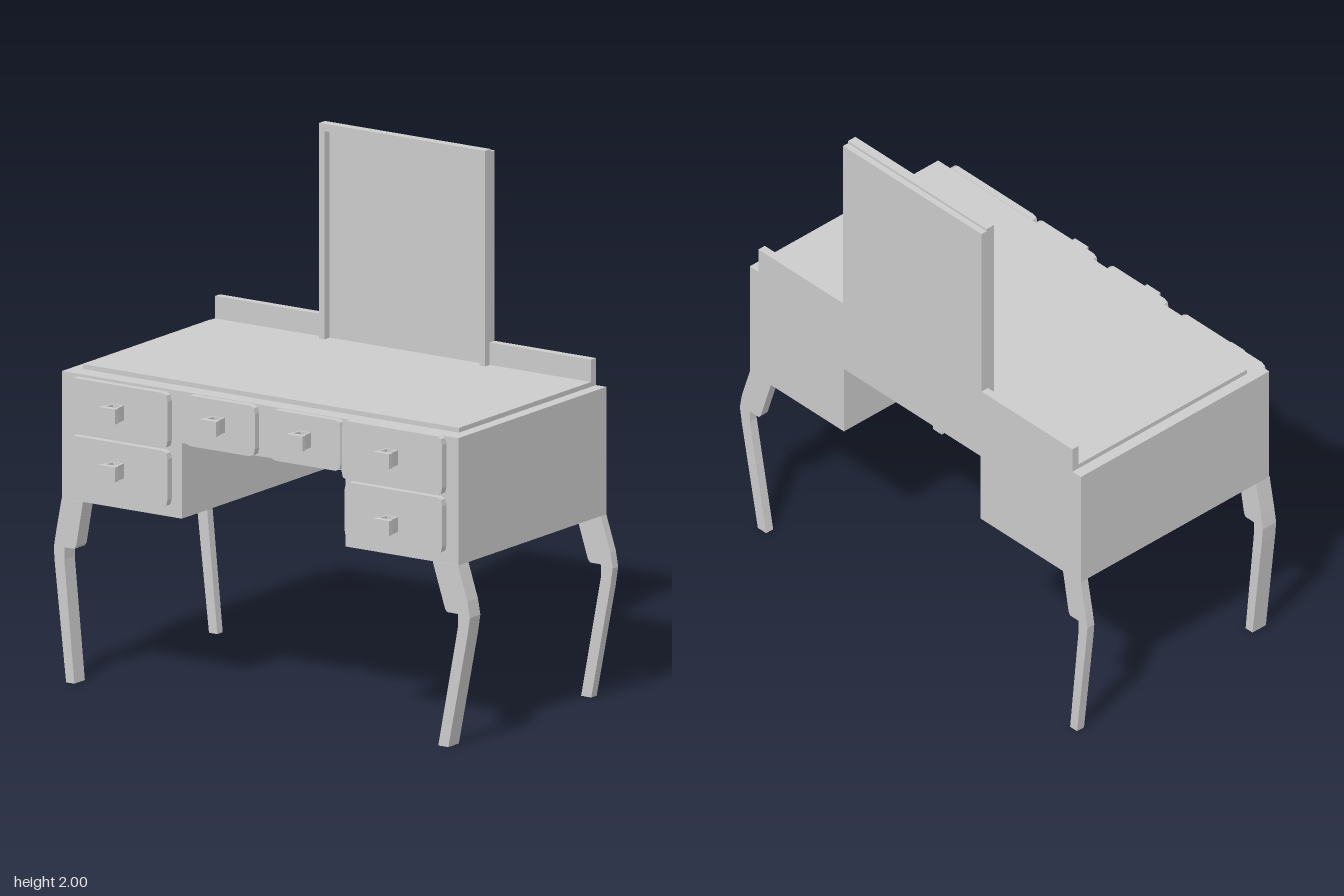
import * as THREE from 'three';

const material = new THREE.MeshStandardMaterial({ color: 0xcccccc });

function toShape(points) {
  return new THREE.Shape(points.map(([x, y]) => new THREE.Vector2(x, y)));
}

// Extrudes a front-view outline between two depths.
function slab(name, shape, z0, z1) {
  const geometry = new THREE.ExtrudeGeometry(shape, { depth: z1 - z0, bevelEnabled: false });
  geometry.translate(0, 0, z0);
  const mesh = new THREE.Mesh(geometry, material);
  mesh.name = name;
  return mesh;
}

function box(name, x0, x1, y0, y1, z0, z1) {
  const mesh = new THREE.Mesh(new THREE.BoxGeometry(x1 - x0, y1 - y0, z1 - z0), material);
  mesh.position.set((x0 + x1) / 2, (y0 + y1) / 2, (z0 + z1) / 2);
  mesh.name = name;
  return mesh;
}

// Drawer front with clipped corners.
function drawerFront(x0, x1, y0, y1) {
  const c = 0.022, d = 0.03;
  const shape = toShape([
    [x0 + c, y0], [x1 - c, y0], [x1 - 0.005, y0 + 0.008], [x1, y0 + d],
    [x1, y1 - d], [x1 - 0.005, y1 - 0.008], [x1 - c, y1], [x0 + c, y1],
    [x0 + 0.005, y1 - 0.008], [x0, y1 - d], [x0, y0 + d], [x0 + 0.005, y0 + 0.008],
  ]);
  return slab('drawerFront', shape, 0.425, 0.453);
}

// Flared pull, hollow from top to bottom; outline drawn in plan.
function drawerPull(x, y) {
  const shape = toShape([
    [-0.026, 0.45], [0.026, 0.45], [0.03, 0.5], [0.036, 0.502],
    [0.036, 0.523], [-0.036, 0.523], [-0.036, 0.502], [-0.03, 0.5],
  ]);
  shape.holes.push(toShape([[-0.017, 0.46], [-0.021, 0.5], [0.021, 0.5], [0.017, 0.46]]));
  const geometry = new THREE.ExtrudeGeometry(shape, { depth: 0.056, bevelEnabled: false });
  geometry.rotateX(Math.PI / 2);
  const mesh = new THREE.Mesh(geometry, material);
  mesh.position.set(x, y + 0.028, 0);
  mesh.name = 'drawerPull';
  return mesh;
}

export function createModel() {
  const model = new THREE.Group();
  model.name = 'dressingTable';

  // Carcass with knee space
  model.add(slab('carcass', toShape([
    [-0.895, 0.69], [-0.36, 0.69], [-0.36, 0.975], [0.37, 0.975],
    [0.37, 0.69], [0.873, 0.69], [0.873, 1.17], [-0.895, 1.17],
  ]), -0.52, 0.425));

  // Top panel and low back rails
  model.add(box('topPanel', -0.85, 0.827, 1.165, 1.188, -0.49, 0.355));
  model.add(box('backRail', -0.85, -0.365, 1.17, 1.272, -0.52, -0.488));
  model.add(box('backRail', 0.375, 0.827, 1.17, 1.272, -0.52, -0.488));

  // Mirror: panel with a raised frame on three sides
  const mirror = new THREE.Group();
  mirror.name = 'mirror';
  mirror.add(box('mirrorPanel', -0.365, 0.375, 1.17, 1.99, -0.52, -0.49));
  mirror.add(slab('mirrorFrame', toShape([
    [-0.365, 1.17], [-0.34, 1.17], [-0.34, 1.972], [0.35, 1.972],
    [0.35, 1.17], [0.375, 1.17], [0.375, 2], [-0.365, 2],
  ]), -0.495, -0.458));
  model.add(mirror);

  // Drawers: x0, x1, y0, y1, pull x, pull y
  const drawers = [
    [-0.848, -0.405, 0.95, 1.16, -0.625, 1.06],
    [-0.848, -0.405, 0.73, 0.942, -0.625, 0.842],
    [-0.328, -0.015, 0.977, 1.168, -0.175, 1.078],
    [0.052, 0.367, 0.977, 1.168, 0.21, 1.078],
    [0.372, 0.82, 0.95, 1.172, 0.597, 1.067],
    [0.385, 0.82, 0.73, 0.942, 0.597, 0.815],
  ];
  for (const [x0, x1, y0, y1, px, py] of drawers) {
    const drawer = new THREE.Group();
    drawer.name = 'drawer';
    drawer.add(drawerFront(x0, x1, y0, y1), drawerPull(px, py));
    model.add(drawer);
  }

  // Bent legs with a knee bracket
  const legs = {
    right: [[-0.895, 0.69], [-0.92, 0.56], [-0.93, 0.5], [-0.925, 0.44], [-0.875, 0],
      [-0.838, 0], [-0.883, 0.46], [-0.882, 0.508], [-0.838, 0.508], [-0.83, 0.52], [-0.8, 0.69]],
    left: [[0.76, 0.69], [0.815, 0.52], [0.825, 0.508], [0.873, 0.508], [0.873, 0.46],
      [0.785, 0], [0.83, 0], [0.915, 0.43], [0.926, 0.5], [0.915, 0.56], [0.873, 0.69]],
  };
  for (const [side, outline] of Object.entries(legs)) {
    model.add(slab(`${side}FrontLeg`, toShape(outline), 0.36, 0.427));
    model.add(slab(`${side}BackLeg`, toShape(outline), -0.52, -0.485));
  }
  return model;
}
